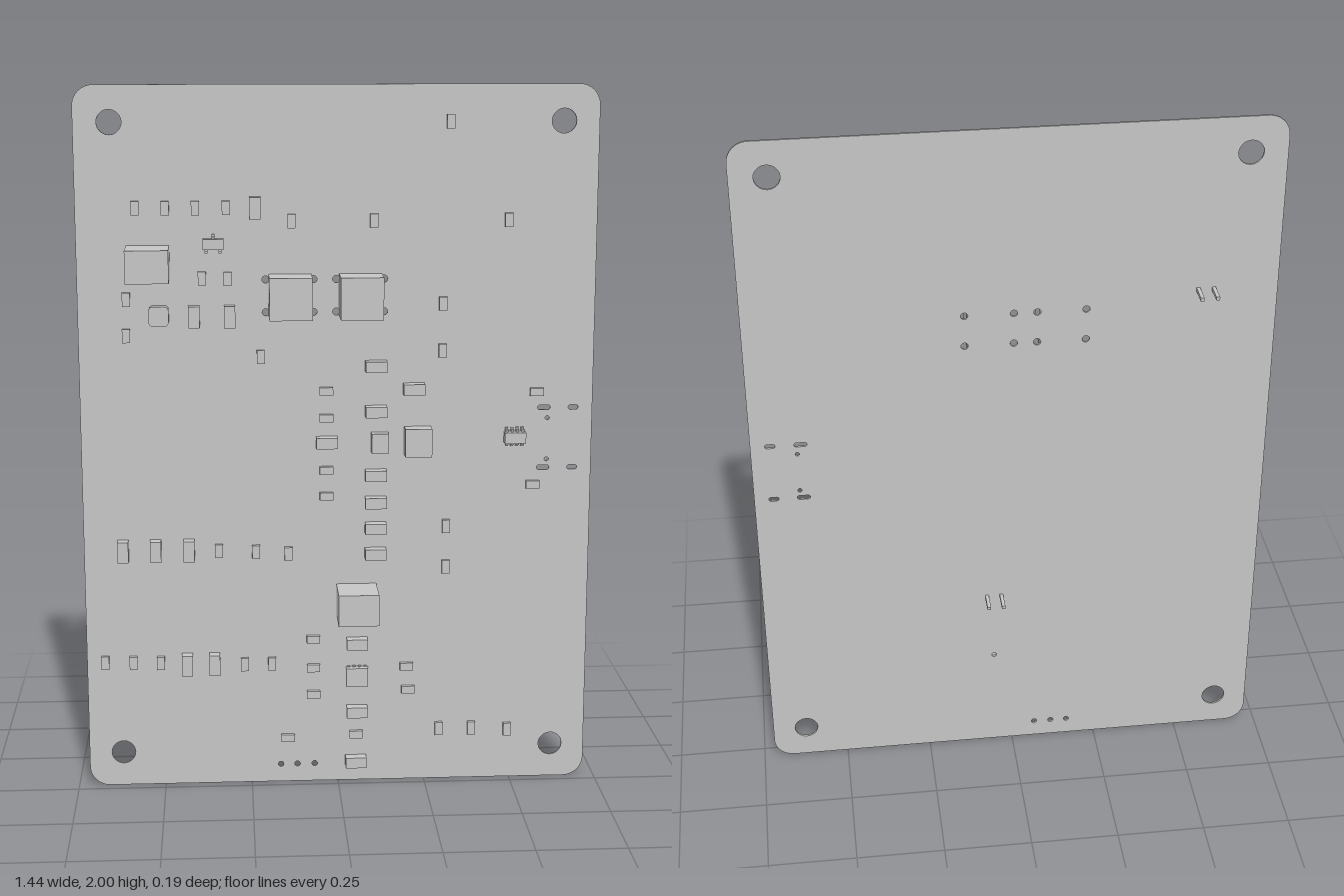
import * as THREE from 'three';

const BACK = -0.035, FACE = -0.029; // board back and component side

function roundedRect(shape, cx, cy, w, h, r) {
  const x0 = cx - w / 2, x1 = cx + w / 2, y0 = cy - h / 2, y1 = cy + h / 2;
  shape.moveTo(x0 + r, y0);
  shape.lineTo(x1 - r, y0);
  shape.absarc(x1 - r, y0 + r, r, -Math.PI / 2, 0);
  shape.lineTo(x1, y1 - r);
  shape.absarc(x1 - r, y1 - r, r, 0, Math.PI / 2);
  shape.lineTo(x0 + r, y1);
  shape.absarc(x0 + r, y1 - r, r, Math.PI / 2, Math.PI);
  shape.lineTo(x0, y0 + r);
  shape.absarc(x0 + r, y0 + r, r, Math.PI, Math.PI * 1.5);
  return shape;
}

export function createModel() {
  const model = new THREE.Group();
  const lightGrey = new THREE.MeshStandardMaterial({ color: 0xc5c5c5 });
  lightGrey.name = 'lightGrey';

  const add = (name, geometry, x, y, z) => {
    const mesh = new THREE.Mesh(geometry, lightGrey);
    mesh.name = name;
    mesh.position.set(x, y, z);
    model.add(mesh);
  };
  // Block centred on x, y and standing on the board up to zTop
  const block = (name, x, y, w, h, zTop, z0 = FACE) =>
    add(name, new THREE.BoxGeometry(w, h, zTop - z0), x, y, (zTop + z0) / 2);

  // Board with mounting holes, pin holes and slots
  const outline = roundedRect(new THREE.Shape(), 0, 1, 1.436, 2, 0.058);
  const hole = (x, y, r) =>
    outline.holes.push(new THREE.Path().absarc(x, y, r, 0, Math.PI * 2, true));
  const slot = (x, y, w, h) =>
    outline.holes.push(roundedRect(new THREE.Path(), x, y, w, h, h * 0.49));
  for (const x of [-0.62, 0.62]) for (const y of [0.1, 1.9]) hole(x, y, 0.034);
  for (const x of [-0.2, -0.068, -0.005, 0.128]) for (const y of [1.379, 1.47]) hole(x, y, 0.01);
  for (const x of [-0.166, -0.118, -0.068]) hole(x, 0.053, 0.008);
  for (const y of [1.102, 0.929]) {
    slot(0.581, y, 0.036, 0.013);
    slot(0.664, y, 0.028, 0.013);
  }
  for (const y of [1.072, 0.953]) hole(0.591, y, 0.006);
  hole(0.053, 0.322, 0.007);
  add('board', new THREE.ExtrudeGeometry(outline,
    { depth: FACE - BACK, bevelEnabled: false, curveSegments: 10 }), 0, 0, BACK);

  // Small upright chips
  const smallUpright = [
    [0.308, 1.9], [-0.555, 1.668], [-0.473, 1.668], [-0.391, 1.668], [-0.307, 1.668],
    [-0.128, 1.631], [0.099, 1.631], [0.472, 1.631], [-0.375, 1.475], [-0.305, 1.473],
    [-0.584, 1.418], [-0.586, 1.317], [-0.215, 1.255], [0.292, 1.4], [0.292, 1.268],
    [-0.338, 0.699], [-0.233, 0.695], [-0.141, 0.688], [0.307, 0.762], [0.307, 0.643],
    [-0.666, 0.373], [-0.586, 0.371], [-0.508, 0.369], [-0.268, 0.361], [-0.19, 0.361],
    [0.292, 0.155], [0.387, 0.155], [0.492, 0.149],
  ];
  for (const [x, y] of smallUpright) block('smallChip', x, y, 0.022, 0.038, -0.017);

  // Small sideways chips
  const smallFlat = [
    [-0.033, 1.156], [-0.033, 1.079], [-0.033, 0.929], [-0.033, 0.854], [0.559, 1.148],
    [0.552, 0.881], [-0.071, 0.432], [-0.071, 0.346], [-0.071, 0.266], [0.197, 0.346],
    [0.202, 0.276], [-0.145, 0.135], [0.052, 0.142],
  ];
  for (const [x, y] of smallFlat) block('smallChip', x, y, 0.038, 0.022, -0.017);

  // Larger chips, upright and sideways
  const largeUpright = [
    [-0.228, 1.668], [-0.398, 1.37], [-0.3, 1.37], [-0.608, 0.704], [-0.516, 0.704],
    [-0.422, 0.704], [-0.432, 0.366], [-0.354, 0.366],
  ];
  for (const [x, y] of largeUpright) block('largeChip', x, y, 0.031, 0.06, 0.002);
  const largeFlat = [
    [0.106, 1.226], [0.212, 1.161], [0.106, 1.098], [-0.032, 1.011], [0.106, 0.915],
    [0.106, 0.836], [0.106, 0.761], [0.106, 0.686], [0.054, 0.42], [0.054, 0.215],
    [0.051, 0.062],
  ];
  for (const [x, y] of largeFlat) block('largeChip', x, y, 0.06, 0.031, 0.002);
  block('squareChip', 0.117, 1.009, 0.048, 0.056, 0.002);
  block('powerCoil', 0.224, 1.012, 0.075, 0.08, 0.017);

  // Connectors with a pair of pins through the board
  for (const [x, y, w] of [[-0.522, 1.521, 0.118], [0.052, 0.55, 0.114]]) {
    block('connector', x, y, w, 0.09, 0.093);
    for (const dx of [-0.021, 0.021])
      block('connectorPin', x + dx, y - 0.011, 0.01, 0.01, FACE, -0.094);
  }

  // Relay blocks
  for (const x of [-0.133, 0.062]) block('relay', x, 1.426, 0.118, 0.117, 0.061);

  // Round-cornered switch
  add('switchBody', new THREE.ExtrudeGeometry(
    roundedRect(new THREE.Shape(), 0, 0, 0.055, 0.055, 0.012),
    { depth: 0.029, bevelEnabled: false, curveSegments: 4 }), -0.495, 1.373, FACE);

  // Body with bent legs along its upper and lower edges
  const legged = (name, x, y, w, h, zTop, top, bottom) => {
    block(name, x, y, w, h, zTop, FACE + 0.004);
    for (const [side, list] of [[1, top], [-1, bottom]]) for (const dx of list) {
      block('leg', x + dx, y + side * (h / 2 + 0.003), 0.008, 0.006, -0.012, FACE);
      block('foot', x + dx, y + side * (h / 2 + 0.006), 0.008, 0.011, FACE + 0.006, FACE);
    }
  };
  const four = [-0.022, -0.0073, 0.0073, 0.022];
  legged('controlChip', 0.498, 1.02, 0.06, 0.031, 0.001, four, four);
  legged('transistor', -0.343, 1.57, 0.058, 0.029, -0.002, [0], [-0.019, 0.019]);

  // Square chip with short side pads
  block('driverChip', 0.054, 0.32, 0.063, 0.054, -0.006);
  for (const dx of [-0.024, -0.008, 0.008, 0.024]) for (const s of [-1, 1])
    block('pad', 0.054 + dx, 0.32 + s * 0.028, 0.008, 0.004, FACE + 0.006);

  return model;
}
